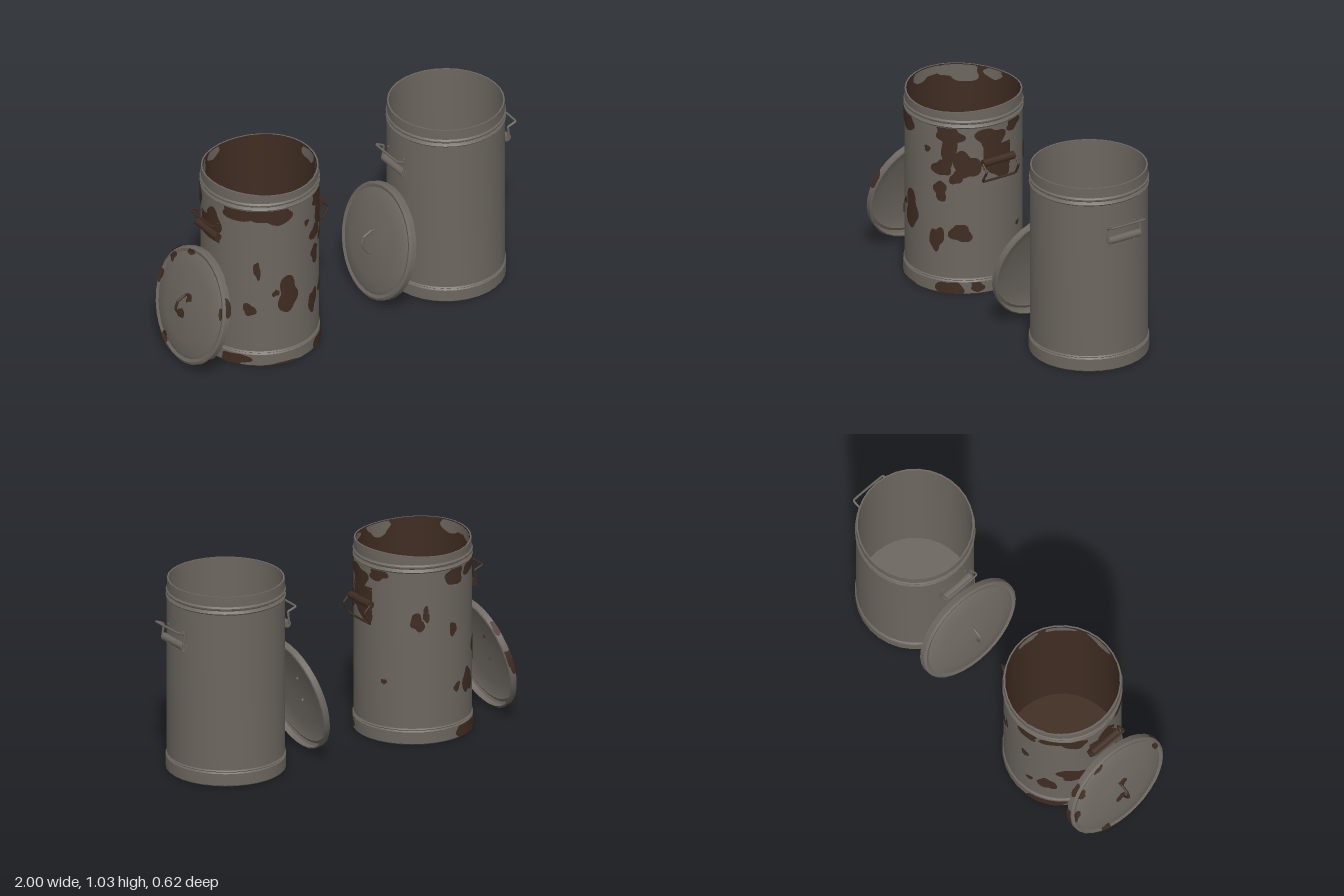
import * as THREE from 'three';
import { toCreasedNormals } from 'three/addons/utils/BufferGeometryUtils.js';

const material = (name, color) => {
  const m = new THREE.MeshStandardMaterial({ color, side: THREE.DoubleSide });
  m.name = name;
  return m;
};

const SEGMENTS = 32;
const LID_PROFILE = [[0.298, 0], [0.305, 0.004], [0.305, 0.034], [0.293, 0.042], [0.276, 0.036],
  [0.262, 0.044], [0.19, 0.055], [0.1, 0.065], [0, 0.07]];

// The dent pushes the top edge of the worn can up and down
const dent = (a, y) => (y > 0.97 ? (y - 0.97) * 20 * 0.009 * (Math.sin(2 * a - 2) - 0.6) : 0);

const polar = (r, a, y) => [r * Math.sin(a), y, r * Math.cos(a)];

function lidHeight(r) {
  for (let i = LID_PROFILE.length - 1; i > 3; i--) {
    const [r0, y0] = LID_PROFILE[i], [r1, y1] = LID_PROFILE[i - 1];
    if (r <= r1) return y0 + (y1 - y0) * (r - r0) / (r1 - r0);
  }
  return 0.042;
}

// Surfaces that patches can lie on, as (angle, position) => point
const clamp = THREE.MathUtils.clamp;
const onWall = (a, y) => polar(0.3045, a, clamp(y, 0.09, 0.924));
const onBase = (a, y) => polar(0.3105, a, clamp(y, 0.006, 0.068));
const onLining = (a, y) => { y = clamp(y, 0.1, 1.018); return polar(0.2865, a, y + dent(a, y)); };
const onLid = (a, r) => { r = clamp(r, 0, 0.292); return polar(r, a, lidHeight(r) + 0.004); };
const onLidRim = (a, y) => polar(0.309, a, clamp(y, 0.003, 0.034));

export function createModel() {
  const steel = material('weathered steel', 0x6c665f);
  const rust = material('dark rust', 0x3f2c21);

  function add(parent, name, geometry, mat, position) {
    const mesh = new THREE.Mesh(geometry, mat);
    mesh.name = name;
    if (position) mesh.position.set(...position);
    parent.add(mesh);
    return mesh;
  }

  function lathe(profile, dented) {
    const geo = new THREE.LatheGeometry(profile.map(p => new THREE.Vector2(...p)), SEGMENTS);
    if (dented) {
      const p = geo.attributes.position;
      for (let i = 0; i < p.count; i++) {
        p.setY(i, p.getY(i) + dent(Math.atan2(p.getX(i), p.getZ(i)), p.getY(i)));
      }
    }
    return toCreasedNormals(geo, 0.5);
  }

  // Wavy blob wrapped onto a surface
  function patch(parent, name, surface, mat, [a, v, w, h], seed) {
    const geo = new THREE.RingGeometry(0, 1, 28, 5);
    const p = geo.attributes.position;
    for (let i = 0; i < p.count; i++) {
      const x = p.getX(i), y = p.getY(i), t = Math.atan2(y, x);
      const k = 1 + 0.16 * Math.sin(2 * t + seed) + 0.13 * Math.sin(3 * t + seed * 2.3) + 0.07 * Math.sin(5 * t + seed * 4.1);
      p.setXYZ(i, ...surface(a + x * k * w, v + y * k * h));
    }
    geo.computeVertexNormals();
    add(parent, name, geo, mat);
  }

  const patches = (parent, name, surface, mat, list) =>
    list.forEach((spec, i) => patch(parent, name, surface, mat, spec, i * 1.7 + 0.4));

  function rod(parent, name, points, mat, radius) {
    const curve = new THREE.CatmullRomCurve3(points.map(p => new THREE.Vector3(...p)), false, 'catmullrom', 0.12);
    add(parent, name, new THREE.TubeGeometry(curve, 64, radius, 6), mat);
  }

  // Bracket, rivets and swinging bail on the +x side
  function sideHandle(mat, dropped) {
    const g = new THREE.Group();
    g.name = 'sideHandle';
    add(g, 'bracketPlate', new THREE.CylinderGeometry(0.308, 0.308, 0.13, 8, 1, true, Math.PI / 2 - 0.27, 0.54), mat, [0, 0.755, 0]);
    add(g, 'hingeSleeve', new THREE.CylinderGeometry(0.02, 0.02, 0.19, 10).rotateX(Math.PI / 2), mat, [0.312, 0.735, 0]);
    for (const z of [-0.073, 0.073]) for (const y of [0.7, 0.805]) {
      add(g, 'rivet', new THREE.SphereGeometry(0.006, 6, 4), mat, [0.3, y, z]);
    }
    const side = dropped
      ? [[0.318, 0.735], [0.352, 0.7], [0.318, 0.637]]
      : [[0.32, 0.735], [0.312, 0.802], [0.358, 0.823]];
    const points = [...side.map(([x, y]) => [x, y, -0.098]), ...side.reverse().map(([x, y]) => [x, y, 0.098])];
    rod(g, 'bail', points, mat, 0.006);
    return g;
  }

  function can(name, worn) {
    const g = new THREE.Group();
    g.name = name;
    add(g, 'base', lathe([[0, 0], [0.3, 0], [0.306, 0.006], [0.306, 0.068], [0.3, 0.075], [0.306, 0.08], [0.3, 0.086]]), steel);
    add(g, 'wall', lathe([[0.3, 0.085], [0.3, 0.926]]), steel);
    add(g, 'beadedRim', lathe([[0.3, 0.924], [0.306, 0.931], [0.3, 0.938], [0.296, 0.945], [0.304, 0.951], [0.306, 0.96],
      [0.299, 0.968], [0.299, 1.022], [0.291, 1.022]], worn), steel);
    add(g, 'lining', lathe([[0.291, 1.022], [0.291, 0.97], [0.291, 0.02], [0, 0.02]], worn), worn ? rust : steel);
    for (const turn of [0, Math.PI]) {
      const handle = sideHandle(worn ? rust : steel, worn && turn === 0);
      handle.rotation.y = turn;
      g.add(handle);
    }

    // Lid leaning against the -x side
    const lid = new THREE.Group();
    lid.name = 'lid';
    lid.position.set(-0.385, 0.31, 0);
    lid.rotation.z = 1.325;
    add(lid, 'lidShell', lathe(LID_PROFILE), steel);
    rod(lid, 'lidHandle', [[-0.065, 0.06, 0], [-0.055, 0.085, 0], [-0.012, 0.124, 0], [0.03, 0.12, 0], [0.06, 0.085, 0], [0.065, 0.06, 0]],
      worn ? rust : steel, 0.007);
    g.add(lid);

    if (worn) {
      patches(g, 'wallRust', onWall, rust, [
        // front
        [-0.85, 0.91, 0.4, 0.05], [-0.35, 0.89, 0.34, 0.055], [0.72, 0.89, 0.26, 0.05], [0.72, 0.79, 0.15, 0.075],
        [0.6, 0.7, 0.16, 0.05], [1.02, 0.72, 0.22, 0.075], [0.57, 0.57, 0.13, 0.05], [0.85, 0.65, 0.12, 0.035],
        [0.32, 0.79, 0.05, 0.022], [-0.62, 0.57, 0.06, 0.05], [-0.08, 0.41, 0.2, 0.095], [0.5, 0.3, 0.13, 0.065],
        [0.92, 0.34, 0.17, 0.055], [-0.75, 0.335, 0.12, 0.033], [-1.3, 0.42, 0.15, 0.06], [-0.3, 0.43, 0.06, 0.02],
        // sides
        [1.45, 0.86, 0.25, 0.06], [1.6, 0.72, 0.28, 0.08], [-1.5, 0.78, 0.22, 0.09], [2.07, 0.33, 0.05, 0.015],
        // back
        [2.65, 0.66, 0.11, 0.05], [3.31, 0.6, 0.09, 0.032], [3.4, 0.28, 0.07, 0.025], [3.72, 0.29, 0.15, 0.075],
        [4.15, 0.43, 0.26, 0.07], [3.35, 0.89, 0.22, 0.05], [3.8, 0.9, 0.22, 0.035], [4.2, 0.87, 0.2, 0.06],
        [2.8, 0.7, 0.06, 0.04], [1.95, 0.9, 0.2, 0.03],
      ]);
      patches(g, 'baseRust', onBase, rust, [
        [-1, 0.035, 0.25, 0.035], [0.75, 0.03, 0.22, 0.045], [1.2, 0.045, 0.12, 0.03], [3.7, 0.035, 0.38, 0.045], [-0.2, 0.006, 0.3, 0.012],
      ]);
      patches(g, 'bareLining', onLining, steel, [
        [-2.1, 0.98, 0.35, 0.06], [-1.4, 1.0, 0.3, 0.045], [-2.75, 1.0, 0.2, 0.05], [0.1, 0.99, 0.3, 0.05], [0.9, 1.0, 0.25, 0.035], [1.5, 0.99, 0.2, 0.04],
      ]);
      patches(lid, 'lidRust', onLid, rust, [
        [3.0, 0.278, 0.14, 0.022], [2.45, 0.275, 0.1, 0.025], [1.85, 0.28, 0.12, 0.018], [4.2, 0.275, 0.12, 0.025], [0.3, 0.28, 0.1, 0.02],
        [4.4, 0.05, 0.5, 0.03], [1.2, 0.055, 0.4, 0.025],
      ]);
      patches(lid, 'lidRimRust', onLidRim, rust, [
        [3.0, 0.02, 0.2, 0.025], [2.4, 0.02, 0.12, 0.02], [4.3, 0.02, 0.2, 0.02], [0.4, 0.02, 0.18, 0.022], [5.5, 0.018, 0.15, 0.02],
      ]);
    }
    return g;
  }

  const model = new THREE.Group();
  model.name = 'trashCans';
  const clean = can('cleanCan', false);
  clean.position.x = 0.635;
  const rusty = can('rustyCan', true);
  rusty.position.x = -0.49;
  model.add(clean, rusty);
  return model;
}
